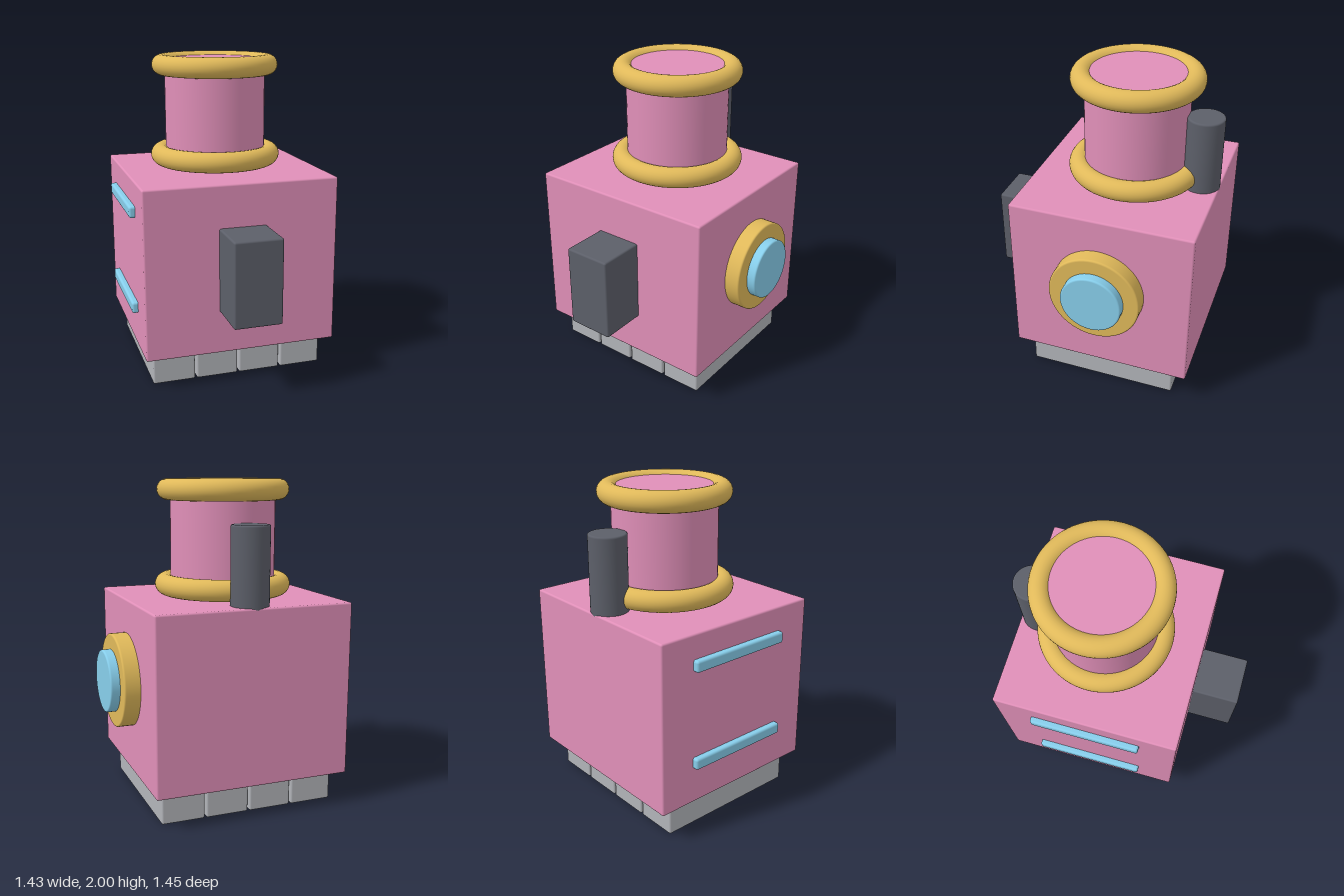
import * as THREE from 'three';
import { RoundedBoxGeometry } from 'three/addons/geometries/RoundedBoxGeometry.js';

const material = (color) => new THREE.MeshStandardMaterial({ color });

// Box given by its min and max corners, with softly rounded edges
function roundedBox([x0, y0, z0], [x1, y1, z1], radius = 0.012) {
  const geometry = new RoundedBoxGeometry(x1 - x0, y1 - y0, z1 - z0, 3, radius);
  return geometry.translate((x0 + x1) / 2, (y0 + y1) / 2, (z0 + z1) / 2);
}

// Upright cylinder from y = 0 to height, with softly rounded rims
function roundedCylinder(radius, height, b = 0.01) {
  const points = [new THREE.Vector2(0, 0), new THREE.Vector2(radius - b - 0.002, 0)];
  for (const [cy, start] of [[b, -Math.PI / 2], [height - b, 0]]) {
    for (let i = 0; i <= 4; i++) {
      const a = start + (i / 4) * (Math.PI / 2);
      points.push(new THREE.Vector2(radius - b + b * Math.cos(a), cy + b * Math.sin(a)));
    }
    if (start < 0) points.push(new THREE.Vector2(radius, b + 0.002), new THREE.Vector2(radius, height - b - 0.002));
  }
  points.push(new THREE.Vector2(radius - b - 0.002, height), new THREE.Vector2(0, height));
  return new THREE.LatheGeometry(points, 64);
}

export function createModel() {
  const model = new THREE.Group();
  model.name = 'boxyMachine';
  const pink = material(0xe08fb8);
  const gold = material(0xe0b95a);
  const blue = material(0x87ceeb);
  const dark = material(0x5c5f69);
  const grey = material(0xb2b4b9);

  function add(name, geometry, mat, x = 0, y = 0, z = 0) {
    const mesh = new THREE.Mesh(geometry, mat);
    mesh.name = name;
    mesh.position.set(x, y, z);
    model.add(mesh);
    return mesh;
  }

  const cx = -0.06;

  // Main body and the block on its front
  add('body', roundedBox([-0.678, 0.2, -0.725], [0.556, 1.276, 0.43]), pink);
  add('frontBlock', roundedBox([-0.212, 0.473, 0.38], [0.092, 1.007, 0.725]), dark);

  // Four slabs under the body
  for (let i = 0; i < 4; i++) {
    const x = -0.62 + i * 0.2817;
    add('baseSlab' + (i + 1), roundedBox([x, 0, -0.625], [x + 0.27, 0.23, 0.34]), grey);
  }

  // Turret with a ring at each end
  add('turret', roundedCylinder(0.325, 0.66), pink, cx, 1.315, -0.182);
  for (const [name, radius, y] of [['lowerRing', 0.358, 1.355], ['upperRing', 0.342, 1.935]]) {
    const ring = new THREE.TorusGeometry(radius, 0.065, 24, 80).rotateX(Math.PI / 2);
    add(name, ring, gold, cx, y, -0.182);
  }

  // Exhaust pipe behind the turret
  add('pipe', roundedCylinder(0.115, 0.545), dark, cx, 1.2, -0.61);

  // Round window on the left side
  add('windowFrame', roundedCylinder(0.29, 0.155).rotateZ(-Math.PI / 2), gold, 0.5, 0.778, -0.147);
  add('windowPane', roundedCylinder(0.193, 0.113).rotateZ(-Math.PI / 2), blue, 0.6, 0.778, -0.147);

  // Two trim bars on the right side
  for (const [name, y] of [['lowerBar', 0.468], ['upperBar', 1.088]]) {
    add(name, roundedBox([-0.715, y - 0.036, -0.496], [-0.645, y + 0.036, 0.2], 0.015), blue);
  }

  return model;
}
